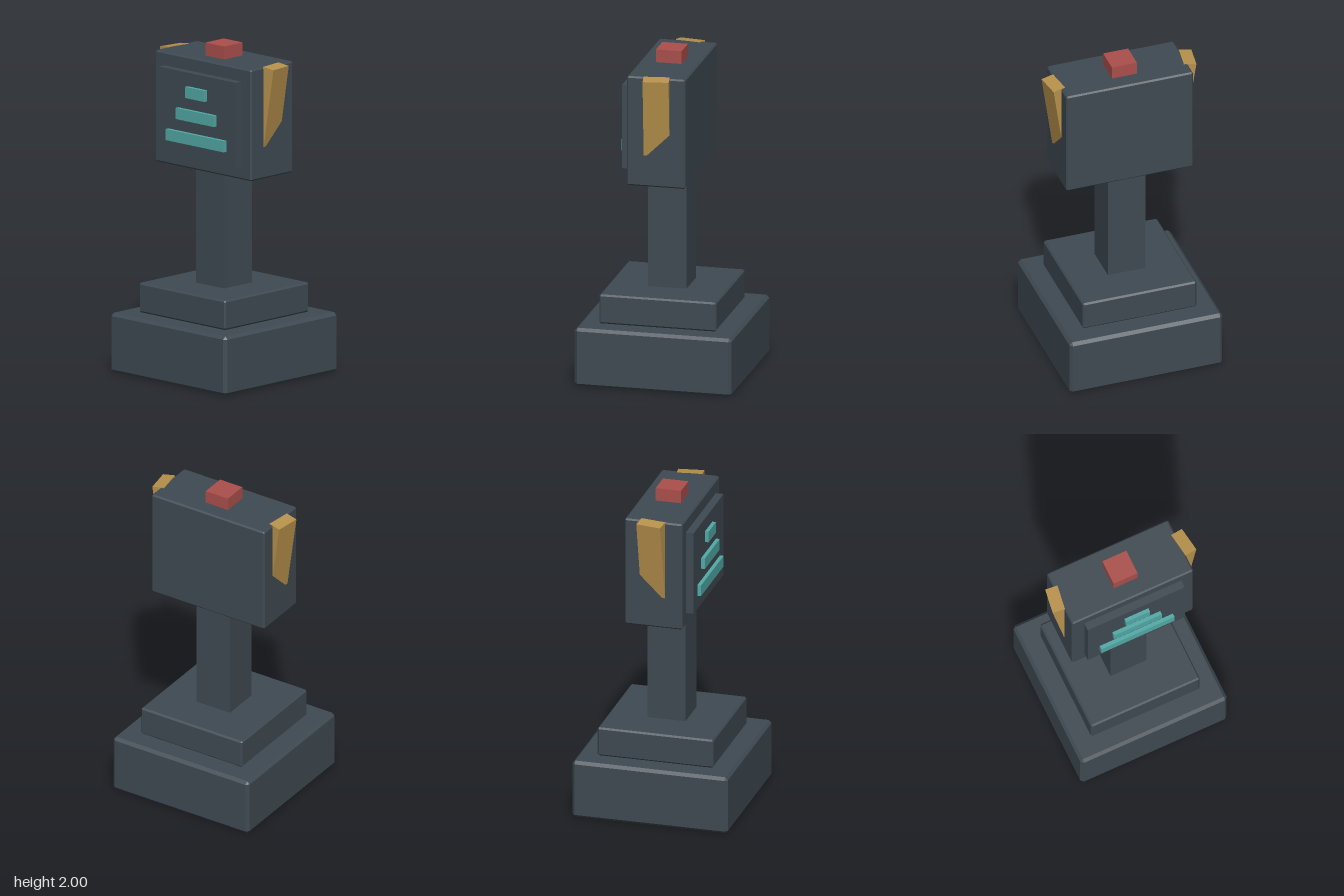
import * as THREE from 'three';
import { ConvexGeometry } from 'three/addons/geometries/ConvexGeometry.js';

// Box with a flat 45-degree chamfer on every edge
function chamferBox(w, h, d, c) {
  const pts = [];
  for (const sx of [-1, 1]) for (const sy of [-1, 1]) for (const sz of [-1, 1]) {
    const x = w / 2, y = h / 2, z = d / 2;
    pts.push(
      new THREE.Vector3(sx * x, sy * (y - c), sz * (z - c)),
      new THREE.Vector3(sx * (x - c), sy * y, sz * (z - c)),
      new THREE.Vector3(sx * (x - c), sy * (y - c), sz * z));
  }
  return new ConvexGeometry(pts);
}

function material(name, color) {
  const m = new THREE.MeshStandardMaterial({ color });
  m.name = name;
  return m;
}

export function createModel() {
  const model = new THREE.Group();
  model.name = 'terminal';
  const slate = material('slate', 0x3f4a52);
  const red = material('red', 0xab4f4b);
  const teal = material('teal', 0x52aaa7);
  const gold = material('gold', 0xb8924c);

  const add = (name, geometry, mat, x, y, z) => {
    const mesh = new THREE.Mesh(geometry, mat);
    mesh.name = name;
    mesh.position.set(x, y, z);
    model.add(mesh);
    return mesh;
  };

  // Stepped foot and column
  add('base', chamferBox(0.96, 0.36, 0.96, 0.018), slate, 0, 0.18, 0);
  add('plinth', chamferBox(0.715, 0.18, 0.715, 0.01), slate, 0, 0.452, 0);
  add('column', new THREE.BoxGeometry(0.235, 0.73, 0.235), slate, 0, 0.895, 0);

  // Head with raised front panel
  add('head', chamferBox(0.796, 0.676, 0.356, 0.009), slate, 0, 1.583, 0);
  add('frontPanel', new THREE.BoxGeometry(0.636, 0.516, 0.06), slate, 0, 1.582, 0.196);

  // Display bars, widening downwards
  [[0.157, 1.724], [0.315, 1.584], [0.48, 1.443]].forEach(([w, y], i) =>
    add('displayBar' + (i + 1), new THREE.BoxGeometry(w, 0.068, 0.03), teal, 0, y, 0.234));

  // Beacon
  add('beacon', new THREE.BoxGeometry(0.157, 0.09, 0.157), red, 0, 1.955, 0);

  // Fins leaning outwards, partly sunk into the head's sides
  for (const s of [1, -1]) {
    const fin = add(s > 0 ? 'leftFin' : 'rightFin',
      new THREE.BoxGeometry(0.077, 0.48, 0.155), gold, s * 0.387, 1.682, -0.003);
    fin.rotation.set(0, s * 0.145, s * -0.148);
  }
  return model;
}
